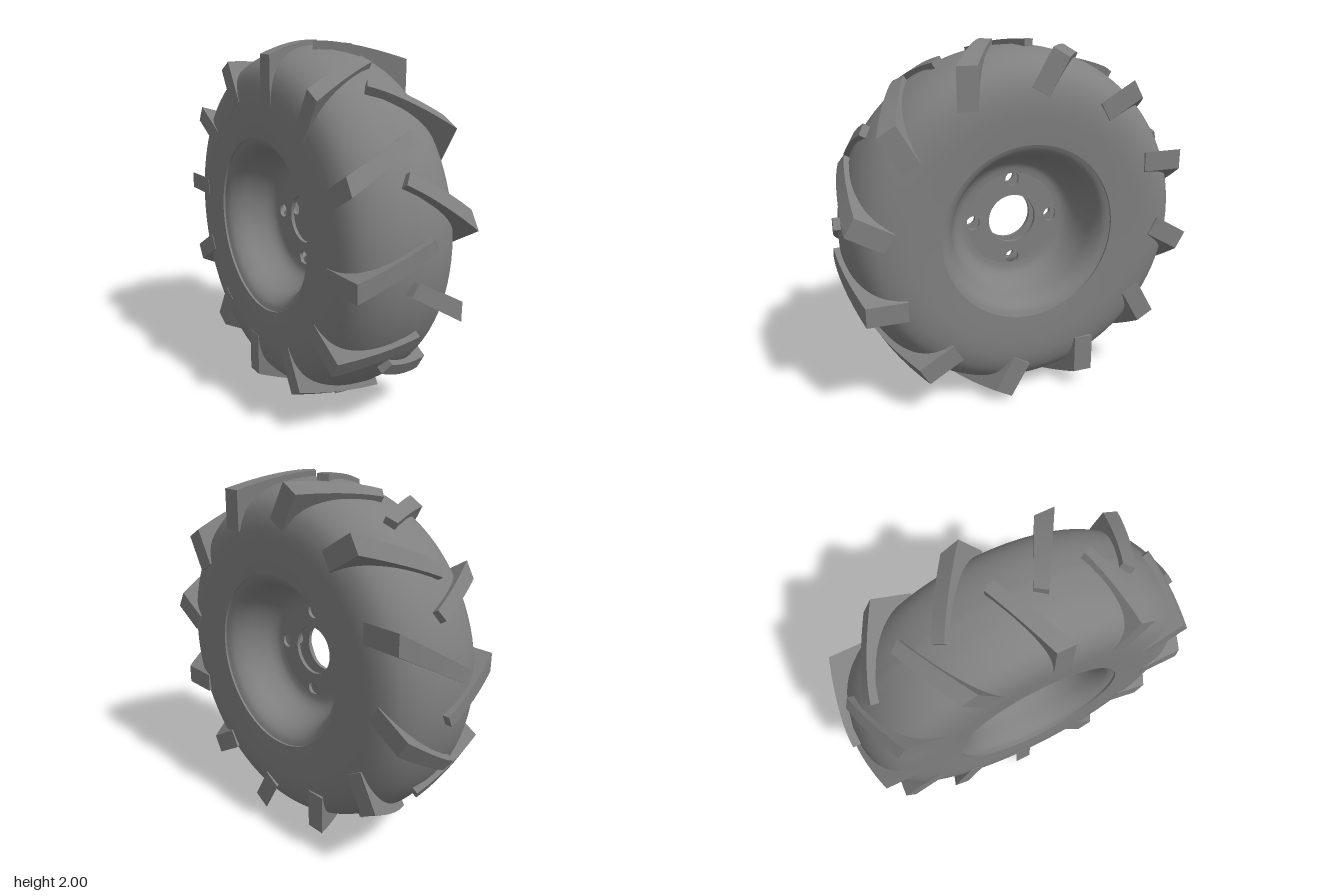
import * as THREE from 'three';

const material = new THREE.MeshStandardMaterial({ color: 0x808080, side: THREE.DoubleSide });
const LUGS = 12;

// Smooth [x, radius] curve through a few points
function smooth(points, steps) {
  const curve = new THREE.SplineCurve(points.map(([x, r]) => new THREE.Vector2(x, r)));
  return curve.getPoints(steps).map((p) => [p.x, p.y]);
}

// Revolve a list of [x, radius] points about the x axis
function revolve(name, points) {
  const geo = new THREE.LatheGeometry(points.map(([x, r]) => new THREE.Vector2(r, x)), 96);
  geo.rotateZ(-Math.PI / 2);
  const mesh = new THREE.Mesh(geo, material);
  mesh.name = name;
  return mesh;
}

const flip = (points) => points.map(([x, r]) => [-x, r]).reverse();

// Tread bar pointing up: plan corners are [x, z] in the order
// low-x back, low-x front, high-x back, high-x front; top(x) is its height
function lugGeometry([a, b, c, d], top) {
  const geo = new THREE.BoxGeometry(1, 1, 1, 10, 1, 1);
  const pos = geo.attributes.position;
  const mix = THREE.MathUtils.lerp;
  for (let i = 0; i < pos.count; i++) {
    const s = pos.getX(i) + 0.5, w = pos.getZ(i) + 0.5;
    const x = mix(mix(a[0], b[0], w), mix(c[0], d[0], w), s);
    const z = mix(mix(a[1], b[1], w), mix(c[1], d[1], w), s);
    pos.setXYZ(i, x, pos.getY(i) > 0 ? top(x) : 0.68, z);
  }
  geo.computeVertexNormals();
  return geo;
}

function circlePath(x, y, r) {
  return new THREE.Path().absarc(x, y, r, 0, Math.PI * 2, true);
}

export function createModel() {
  const model = new THREE.Group();
  model.name = 'tractorWheel';
  const wheel = new THREE.Group();
  wheel.name = 'wheel';
  wheel.position.y = 1;
  model.add(wheel);

  // Tyre carcass with full, rounded shoulders
  const half = smooth([
    [0, 0.97], [0.12, 0.955], [0.22, 0.917], [0.29, 0.857],
    [0.325, 0.78], [0.338, 0.69], [0.337, 0.59], [0.332, 0.487],
  ], 28);
  wheel.add(revolve('tyre', [...flip(half), ...half.slice(1)]));

  // Dished rim on both sides, set just inside the tyre bead
  const bowl = smooth([
    [0.32, 0.487], [0.3, 0.45], [0.25, 0.417], [0.17, 0.39],
    [0.1, 0.355], [0.064, 0.315], [0.054, 0.27],
  ], 24);
  const lip = [[0.332, 0.487], [0.32, 0.487]];
  wheel.add(revolve('leftRim', bowl), revolve('rightRim', flip(bowl)));
  wheel.add(revolve('leftBead', lip), revolve('rightBead', flip(lip)));

  // Two thin hub plates with centre bore and four bolt holes
  const plate = new THREE.Shape().absarc(0, 0, 0.28, 0, Math.PI * 2, false);
  plate.holes.push(circlePath(0, 0, 0.14));
  for (let i = 0; i < 4; i++) {
    const a = i * Math.PI / 2;
    plate.holes.push(circlePath(0.235 * Math.cos(a), 0.235 * Math.sin(a), 0.04));
  }
  const plateGeo = new THREE.ExtrudeGeometry(plate, { depth: 0.02, bevelEnabled: false, curveSegments: 32 });
  plateGeo.translate(0, 0, -0.01).rotateY(Math.PI / 2);
  for (const [name, x] of [['leftHubPlate', 0.044], ['rightHubPlate', -0.044]]) {
    const hub = new THREE.Mesh(plateGeo, material);
    hub.name = name;
    hub.position.x = x;
    wheel.add(hub);
  }

  // Slanted tread bars, one staggered ring per side
  const leftLug = lugGeometry(
    [[-0.04, 0.08], [-0.08, 0.14], [0.341, 0.285], [0.341, 0.395]],
    (x) => 0.997 - 0.095 * Math.pow(Math.max(0, x + 0.05) / 0.39, 1.6));
  const rightLug = lugGeometry(
    [[-0.341, 0.045], [-0.341, 0.145], [0.045, -0.12], [0.075, -0.06]],
    (x) => 0.998 - 0.068 * Math.pow(Math.max(0, 0.05 - x) / 0.39, 1.8));
  for (let i = 0; i < LUGS; i++) {
    for (const [name, geo] of [['leftLug', leftLug], ['rightLug', rightLug]]) {
      const lug = new THREE.Mesh(geo, material);
      lug.name = name + (i + 1);
      lug.rotation.x = i * Math.PI * 2 / LUGS;
      wheel.add(lug);
    }
  }
  return model;
}
